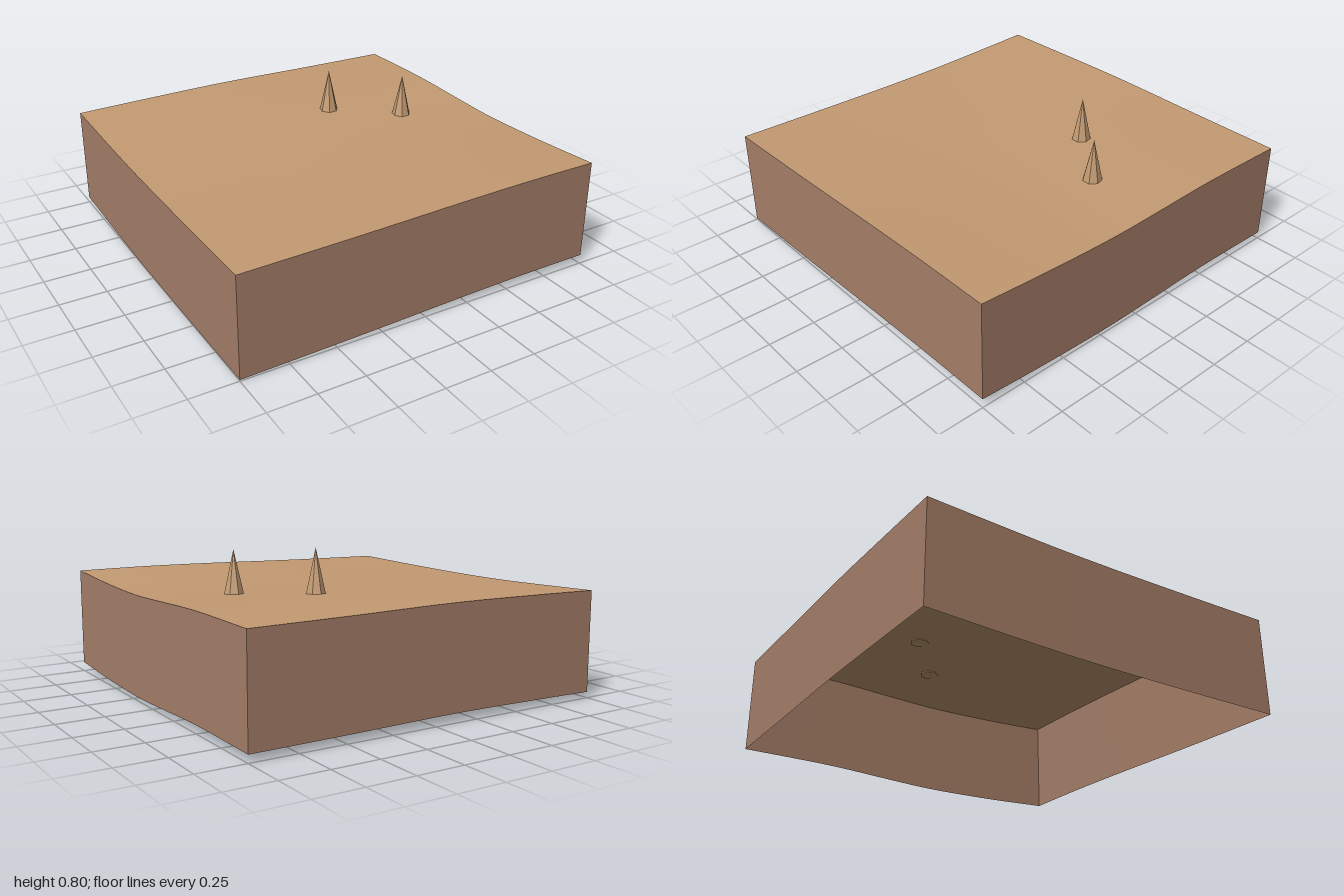
import * as THREE from 'three';

const DEPTH = 0.535;
const SEG = 24;

// Height curve along one edge from [position, height] points
function edge(points) {
  const curve = new THREE.SplineCurve(points.map(([p, h]) => new THREE.Vector2(p, h)));
  const samples = curve.getPoints(120);
  return (p) => {
    let i = 1;
    while (i < samples.length - 1 && samples[i].x < p) i++;
    const a = samples[i - 1], b = samples[i];
    return THREE.MathUtils.lerp(a.y, b.y, (p - a.x) / (b.x - a.x));
  };
}

const front = edge([[-1, 0.542], [-0.4, 0.556], [0.2, 0.575], [0.6, 0.584], [1, 0.586]]);
const back = edge([[-1, 0.567], [-0.6, 0.576], [-0.1, 0.583], [0.5, 0.577], [1, 0.574]]);
const left = edge([[-1, 0.567], [-0.4, 0.543], [0, 0.536], [0.5, 0.537], [1, 0.542]]);
const right = edge([[-1, 0.574], [-0.5, 0.577], [-0.1, 0.563], [0.2, 0.555], [0.6, 0.565], [1, 0.586]]);

// Ground height blended from the four edges
function height(x, z) {
  const u = (x + 1) / 2, v = (z + 1) / 2, mix = THREE.MathUtils.lerp;
  const corners = mix(mix(back(-1), back(1), u), mix(front(-1), front(1), u), v);
  return mix(left(z), right(z), u) + mix(back(x), front(x), v) - corners;
}

export function createModel() {
  const group = new THREE.Group();
  const sand = new THREE.MeshStandardMaterial({ color: 0xc49b72, side: THREE.DoubleSide });
  sand.name = 'sand';
  const earth = new THREE.MeshStandardMaterial({ color: 0xa67e68, side: THREE.DoubleSide });
  earth.name = 'earth';
  const stone = new THREE.MeshStandardMaterial({ color: 0xc49b72, flatShading: true });
  stone.name = 'sandstone';

  const add = (name, geometry, material) => {
    const mesh = new THREE.Mesh(geometry, material);
    mesh.name = name;
    group.add(mesh);
    return mesh;
  };

  // Rolling ground surface
  const ground = new THREE.PlaneGeometry(2, 2, SEG, SEG).rotateX(-Math.PI / 2);
  const gp = ground.attributes.position;
  for (let i = 0; i < gp.count; i++) gp.setY(i, height(gp.getX(i), gp.getZ(i)));
  ground.computeVertexNormals();
  add('ground', ground, sand);

  // Four walls hanging from the ground's edges; the underside stays open
  ['frontWall', 'leftWall', 'backWall', 'rightWall'].forEach((name, side) => {
    const wall = new THREE.PlaneGeometry(2, 1, SEG, 1).translate(0, 0, 1).rotateY(side * Math.PI / 2);
    const p = wall.attributes.position;
    for (let i = 0; i < p.count; i++) {
      const top = height(p.getX(i), p.getZ(i));
      p.setY(i, p.getY(i) > 0 ? top : Math.max(0, top - DEPTH));
    }
    add(name, wall, earth);
  });

  // Seven-sided rock spikes
  [[0.25, -0.335, 0.8], [0.58, -0.085, 0.787]].forEach(([x, z, tip], i) => {
    const base = height(x, z) - 0.005;
    const spike = add('spike' + (i + 1), new THREE.ConeGeometry(0.052, tip - base, 7).rotateY(Math.PI), stone);
    spike.position.set(x, (tip + base) / 2, z);
  });

  return group;
}
